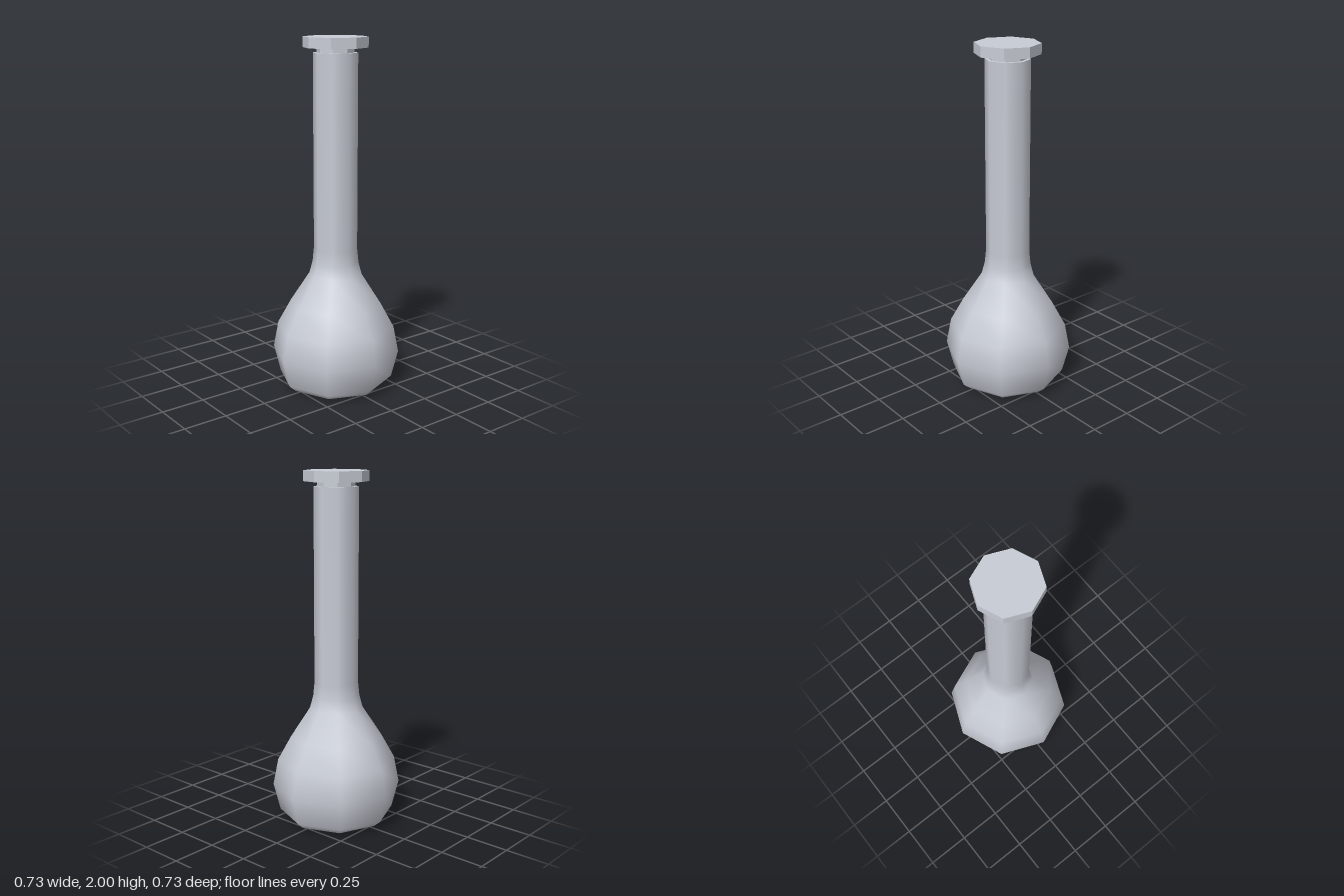
import * as THREE from 'three';

const SIDES = 8;

// Octagonal surface of revolution from [radius, height] pairs
function turned(name, profile, material) {
  const points = profile.map(([r, y]) => new THREE.Vector2(r, y));
  const mesh = new THREE.Mesh(new THREE.LatheGeometry(points, SIDES), material);
  mesh.name = name;
  return mesh;
}

// Octagonal disc or plug between two heights
function prism(name, radius, bottom, top, material) {
  const mesh = new THREE.Mesh(
    new THREE.CylinderGeometry(radius, radius, top - bottom, SIDES), material);
  mesh.position.y = (bottom + top) / 2;
  mesh.name = name;
  return mesh;
}

export function createModel() {
  const glass = new THREE.MeshStandardMaterial({ color: 0xc8ccd5 });
  glass.name = 'pale grey glass';
  const stopperGlass = glass.clone();
  stopperGlass.name = 'pale grey stopper';
  stopperGlass.flatShading = true;

  const flask = new THREE.Group();
  flask.name = 'flask';

  // Bulb with a hollowed base, running smoothly into the long neck
  flask.add(turned('bulbAndNeck', [
    [0, 0.05], [0.15, 0.045], [0.21, 0.003], [0.285, 0.018], [0.327, 0.055],
    [0.366, 0.21], [0.337, 0.36], [0.26, 0.5], [0.15, 0.67],
    [0.132, 0.74], [0.124, 0.82], [0.124, 1.915],
  ], glass));

  // Flat lip and inner wall of the neck
  flask.add(turned('neckLip', [[0.124, 1.915], [0.1, 1.915]], glass));

  // Stopper: plug in the neck and a wider cap
  const stopper = new THREE.Group();
  stopper.name = 'stopper';
  stopper.add(prism('plug', 0.104, 1.8, 1.945, stopperGlass));
  stopper.add(prism('cap', 0.18, 1.942, 2, stopperGlass));
  flask.add(stopper);

  return flask;
}
